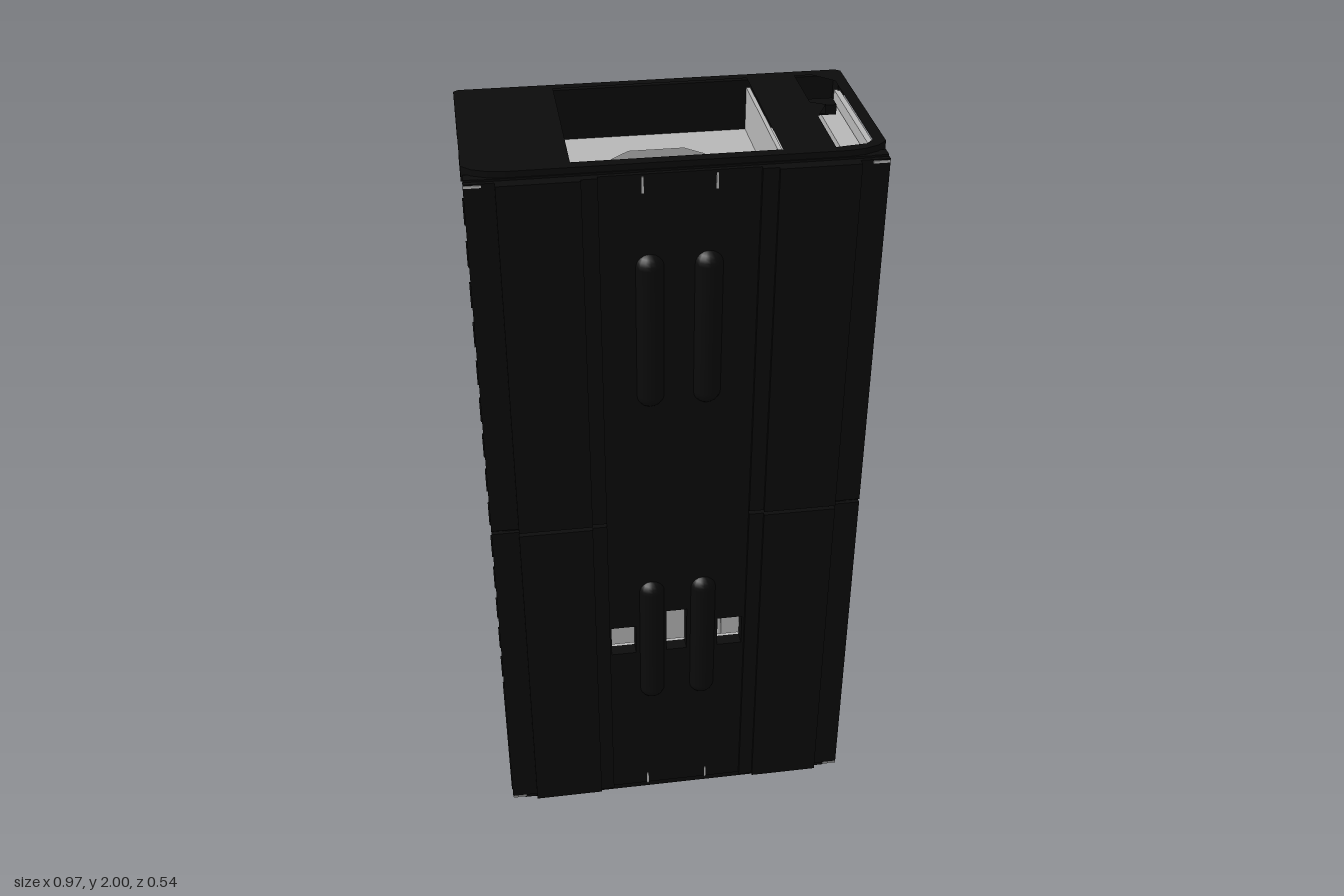
import * as THREE from 'three';

export function createModel() {
  const root = new THREE.Group();
  const black = new THREE.MeshStandardMaterial({ color: 0x0b0b0b });
  black.name = 'black shell';
  const grey = new THREE.MeshStandardMaterial({ color: 0xb8b8b8 });
  grey.name = 'light grey interior';

  const add = (name, geo, mat, x = 0, y = 0, z = 0) => {
    const m = new THREE.Mesh(geo, mat);
    m.name = name;
    m.position.set(x, y, z);
    root.add(m);
    return m;
  };
  // box given by its limits
  const box = (name, mat, x0, x1, y0, y1, z0, z1) =>
    add(name, new THREE.BoxGeometry(x1 - x0, y1 - y0, z1 - z0), mat, (x0 + x1) / 2, (y0 + y1) / 2, (z0 + z1) / 2);
  const both = (name, mat, x0, x1, ...r) => {
    box(name, mat, x0, x1, ...r);
    box(name, mat, -x1, -x0, ...r);
  };
  const rect = (x0, x1, y0, y1) => [[x0, y0], [x1, y0], [x1, y1], [x0, y1]];
  const mirror = (half) => [...half, ...half.map(([x, y]) => [-x, y]).reverse()];
  const extrude = (outline, holes, depth) => {
    const vec = (pts) => pts.map(([x, y]) => new THREE.Vector2(x, y));
    const s = new THREE.Shape(vec(outline));
    holes.forEach((h) => s.holes.push(new THREE.Path(vec(h))));
    return new THREE.ExtrudeGeometry(s, { depth, bevelEnabled: false });
  };
  // horizontal plate with its outline in x and z
  const deck = (name, mat, outline, holes, y0, y1) => {
    const flip = (pts) => pts.map(([x, z]) => [x, -z]);
    const g = extrude(flip(outline), holes.map(flip), y1 - y0);
    g.rotateX(-Math.PI / 2);
    return add(name, g, mat, 0, y0, 0);
  };
  // upright plate with its outline in x and y
  const wall = (name, mat, outline, holes, z0, z1) => add(name, extrude(outline, holes, z1 - z0), mat, 0, 0, z0);

  // end caps, with a large port in each and a service slot in the top
  const capOutline = mirror([[0.475, -0.26], [0.487, -0.25], [0.487, 0.19], [0.465, 0.212], [0.43, 0.227], [0.39, 0.233]]);
  const port = rect(-0.243, 0.243, -0.235, 0.205);
  const slot = [[0.365, -0.235], [0.41, -0.23], [0.458, -0.185], [0.458, 0.18], [0.44, 0.2], [0.365, 0.21],
    [0.365, 0.03], [0.4, -0.04], [0.365, -0.06]];
  deck('topCap', black, capOutline, [port, slot], 1.975, 2);
  deck('bottomCap', black, capOutline, [port], 0, 0.022);
  box('slotLatch', black, 0.37, 0.435, 1.96, 1.985, -0.115, -0.07);
  box('slotRail', grey, 0.405, 0.455, 1.93, 1.95, -0.18, 0.18);

  // grey side bands under the caps
  for (const [y0, y1] of [[0.022, 0.135], [1.865, 1.975]]) {
    both('endBand', grey, 0.458, 0.472, y0, y1, -0.19, 0.21);
    both('endPortWall', grey, 0.243, 0.253, y0, y1, -0.235, 0.21);
  }

  // collar decks shaped around the central opening
  const collar = mirror([[0.07, -0.14], [0.135, -0.08], [0.15, -0.045], [0.208, -0.025], [0.208, 0.075],
    [0.14, 0.1], [0.09, 0.195]]);
  const deckOutline = rect(-0.468, 0.468, -0.19, 0.21);
  deck('lowerCollar', grey, deckOutline, [collar], 0.135, 0.163);
  deck('upperCollar', grey, deckOutline, [collar], 1.837, 1.865);
  deck('middleCollar', grey, rect(-0.456, 0.456, -0.18, 0.2), [collar], 0.94, 1.06);
  deck('middleBand', grey, rect(-0.47, 0.47, -0.19, 0.21), [rect(-0.455, 0.455, -0.178, 0.198)], 0.9, 1.105);
  for (const x of [-0.108, 0, 0.108]) box('connectorTab', black, x - 0.024, x + 0.024, 0.95, 1.05, -0.135, -0.08);
  for (const y of [0.13, 1.85]) {
    for (let i = 0; i < 4; i++) both('collarTooth', grey, 0.203, 0.21, y, y + 0.02, -0.02 + i * 0.025, -0.008 + i * 0.025);
  }

  // front shell with three window openings
  const windows = [rect(-0.182, -0.115, 0.55, 0.645), rect(-0.03, 0.026, 0.55, 0.69), rect(0.112, 0.18, 0.55, 0.645)];
  wall('frontLiner', grey, rect(-0.47, 0.47, 0.022, 1.975), windows, 0.203, 0.212);
  wall('frontShell', black, rect(-0.45, 0.45, 0.01, 1.985), windows, 0.212, 0.236);
  wall('frontCentreStrip', black, rect(-0.187, 0.187, 0.03, 1.98), windows, 0.236, 0.247);
  for (const [y0, y1] of [[0.03, 1.005], [1.015, 1.98]]) {
    both('frontSidePanel', black, 0.225, 0.415, y0, y1, 0.236, 0.266);
    both('frontInnerPanel', black, 0.187, 0.225, y0, y1, 0.236, 0.257);
    both('frontEdgeFlange', black, 0.415, 0.485, y0, y1, 0.232, 0.246);
  }
  both('frontCornerPost', black, 0.45, 0.484, 0.01, 1.985, 0.205, 0.234);

  // rounded grips on the front
  for (const y of [0.59, 1.57]) {
    for (const x of [-0.07, 0.07]) add('frontGrip', new THREE.CapsuleGeometry(0.036, 0.35, 6, 16), black, x, y, 0.235);
  }

  // pale clips in the front seams
  for (const y of [0.028, 1.974]) {
    const s = y < 1 ? 1 : -1;
    both('cornerClip', grey, 0.445, 0.484, y - 0.003, y + 0.003, 0.243, 0.248);
    both('seamClip', grey, 0.083, 0.088, Math.min(y, y + s * 0.04), Math.max(y, y + s * 0.04), 0.244, 0.249);
  }

  // dark slits on the inner front wall
  for (let i = 0; i < 10; i++) {
    const y = 0.2 + i * 0.172;
    if (Math.abs(y - 0.98) > 0.12) both('innerSlit', black, 0.334, 0.346, y, y + 0.06, 0.199, 0.204);
  }

  // back shell, side flanges and grey inner lining
  box('backShell', black, -0.478, 0.478, 0.005, 1.995, -0.256, -0.235);
  both('backSideFlange', black, 0.466, 0.482, 0.005, 1.995, -0.25, -0.182);
  box('backLiner', grey, -0.466, 0.466, 0.135, 1.865, -0.235, -0.186);
  for (let i = 0; i < 16; i++) {
    const y = 0.06 + i * 0.122;
    both('backEdgeRib', black, 0.4, 0.487, y, y + 0.065, -0.26, -0.235);
  }

  // low ridges down the middle of the back
  const ridge = mirror([[0.075, -0.25], [0.055, -0.27]]);
  for (const y of [0.27, 0.73, 0.95, 1.29, 1.74]) {
    const h = y === 0.95 ? 0.05 : 0.11;
    deck('backRidge', black, ridge, [], y - h, y + h);
  }

  // hoses along the inner back wall
  const hose = (pts, r) => {
    for (const s of [1, -1]) {
      const curve = new THREE.CatmullRomCurve3(pts.map(([x, y, z]) => new THREE.Vector3(x * s, y, z)));
      add('hose', new THREE.TubeGeometry(curve, 28, r, 8), grey);
    }
  };
  for (const flip of [(y) => y, (y) => 2 - y]) {
    hose([[0.3, 1.84, -0.155], [0.3, 1.77, -0.152], [0.31, 1.68, -0.178], [0.34, 1.6, -0.181], [0.34, 1.3, -0.181],
      [0.28, 1.2, -0.181], [0.28, 1.1, -0.181]].map(([x, y, z]) => [x, flip(y), z]), 0.007);
    hose([[0.2, 1.84, -0.18], [0.2, 1.45, -0.18], [0.24, 1.34, -0.18], [0.24, 1.1, -0.18]]
      .map(([x, y, z]) => [x, flip(y), z]), 0.008);
  }

  // ribbed block on the back wall above the middle deck
  for (let i = 0; i < 5; i++) box('ribbedBlock', grey, -0.16, 0.16, 1.12 + i * 0.035, 1.143 + i * 0.035, -0.19, -0.172);
  return root;
}
